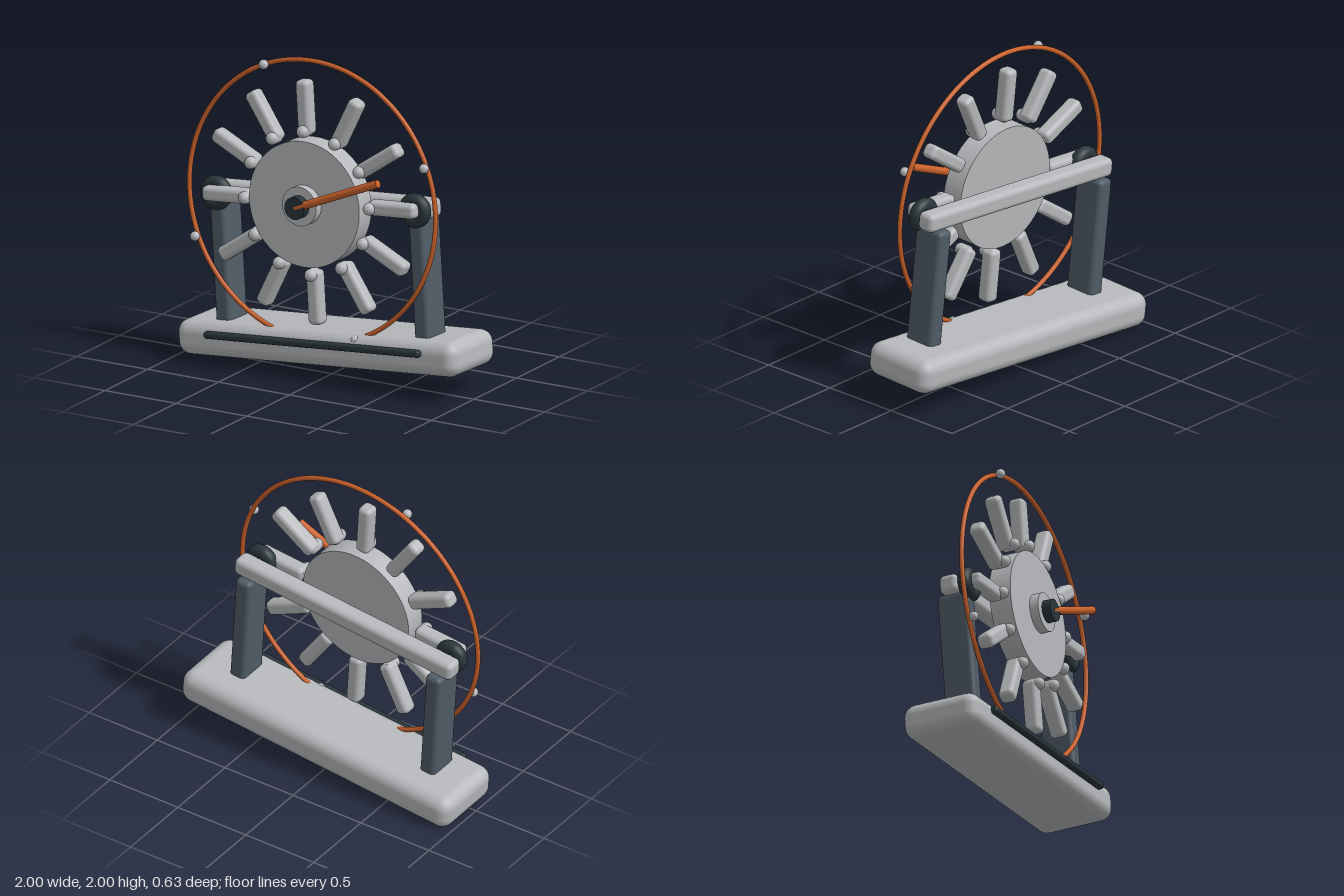
import * as THREE from 'three';
import { RoundedBoxGeometry } from 'three/addons/geometries/RoundedBoxGeometry.js';

const material = (name, color) => {
  const m = new THREE.MeshStandardMaterial({ color });
  m.name = name;
  return m;
};

export function createModel() {
  const lightGrey = material('lightGrey', 0xb6b8bb);
  const slate = material('slate', 0x505c67);
  const charcoal = material('charcoal', 0x28343a);
  const orange = material('orange', 0xcb622b);

  const model = new THREE.Group();
  model.name = 'wheelOnStand';

  // Everything sits in one frame, slightly tilted as a whole
  const frame = new THREE.Group();
  frame.name = 'tiltedFrame';
  frame.position.set(0, 0.195, -0.045);
  frame.rotation.set(-0.035, -0.019, 0.0847);
  model.add(frame);

  const add = (parent, name, geometry, mat, x, y, z) => {
    const mesh = new THREE.Mesh(geometry, mat);
    mesh.name = name;
    mesh.position.set(x, y, z);
    parent.add(mesh);
    return mesh;
  };
  const block = (w, h, d, r) => new RoundedBoxGeometry(w, h, d, 4, r);
  // Cylinder whose axis runs front to back
  const disc = (r, depth) => new THREE.CylinderGeometry(r, r, depth, 64).rotateX(Math.PI / 2);

  // Base with a front strip
  add(frame, 'base', block(2, 0.22, 0.5, 0.08), lightGrey, 0, 0, 0);
  add(frame, 'frontStrip', block(1.54, 0.045, 0.05, 0.018), charcoal, 0, 0.04, 0.265);

  // Posts, bearing rings and back rail
  for (const side of [-1, 1]) {
    const label = side > 0 ? 'left' : 'right';
    add(frame, label + 'Post', block(0.11, 0.8, 0.21, 0.03), slate, side * 0.71, 0.45, 0.045);
    add(frame, label + 'Bearing', new THREE.TorusGeometry(0.065, 0.043, 16, 40), charcoal, side * 0.71, 0.9, 0.14);
  }
  add(frame, 'backRail', block(1.62, 0.12, 0.12, 0.035), lightGrey, 0, 0.9, 0.04);

  // Wheel
  const wheel = new THREE.Group();
  wheel.name = 'wheel';
  wheel.position.y = 0.91;
  frame.add(wheel);
  add(wheel, 'hubDisc', disc(0.393, 0.14), lightGrey, 0, 0, 0.2);
  add(wheel, 'hubCap', disc(0.122, 0.07), lightGrey, 0, 0, 0.292);
  add(wheel, 'hubKnob', disc(0.07, 0.056), charcoal, 0, 0, 0.355);
  add(wheel, 'outerRing', new THREE.TorusGeometry(0.878, 0.015, 12, 128), orange, 0, 0, 0.175);

  // Twelve spokes, each with a pin at its inner end
  const spokeGeometry = block(0.34, 0.092, 0.1, 0.03);
  const pinGeometry = new THREE.CapsuleGeometry(0.039, 0.05, 6, 20).rotateX(Math.PI / 2);
  for (let i = 0; i < 12; i++) {
    const spoke = new THREE.Group();
    spoke.name = 'spoke' + (i + 1);
    spoke.rotation.z = (i * Math.PI) / 6;
    add(spoke, 'spokeBody', spokeGeometry, lightGrey, 0.59, 0, 0.19);
    add(spoke, 'spokePin', pinGeometry, lightGrey, 0.446, 0, 0.216);
    wheel.add(spoke);
  }

  // Beads on the ring, a quarter turn apart
  const pointerAngle = 0.318;
  const bead = new THREE.SphereGeometry(0.03, 24, 16);
  for (let i = 0; i < 4; i++) {
    const a = pointerAngle + (i * Math.PI) / 2;
    add(wheel, 'ringBead' + (i + 1), bead, lightGrey, Math.cos(a) * 0.88, Math.sin(a) * 0.88, 0.21);
  }

  // Pointer rod from the hub
  const pointer = new THREE.Group();
  pointer.name = 'pointer';
  pointer.rotation.z = pointerAngle;
  wheel.add(pointer);
  const rod = new THREE.CylinderGeometry(0.025, 0.025, 0.635, 24).rotateZ(-Math.PI / 2);
  add(pointer, 'pointerRod', rod, orange, 0.315, 0, 0.363).rotation.y = -0.01;

  return model;
}
